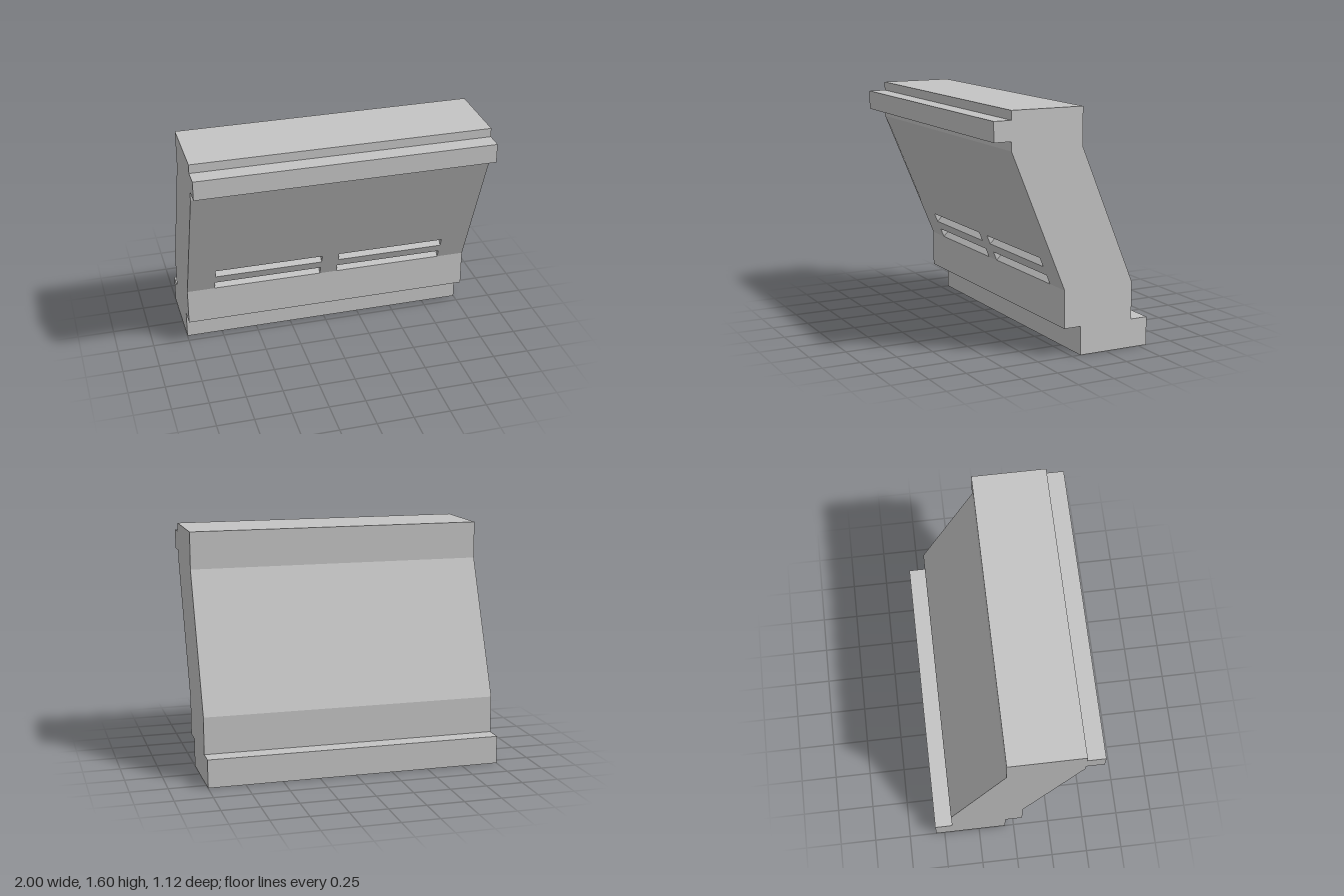
import * as THREE from 'three';

export function createModel() {
  const model = new THREE.Group();
  model.name = 'barrier';
  const grey = new THREE.MeshStandardMaterial({ color: 0xc4c4c4 });
  grey.name = 'plain grey';

  // z of the leaning front face at height y
  const frontZ = (y) => 0.06 + (0.38 * (y - 0.44)) / 0.91;

  // Wedge-shaped notches cut into the lower front face, as [z, y]
  const notch = (low) => [
    [frontZ(low), low], [frontZ(low) - 0.045, low + 0.046], [frontZ(low + 0.06), low + 0.06],
  ];
  const notches = [...notch(0.44), ...notch(0.56)];

  // Side outline, as [z, y], running up the front and down the back
  const outline = (cut) => [
    [-0.06, 0], [-0.06, 0.19], [0.06, 0.19],
    ...(cut ? notches : [[0.06, 0.44]]),
    [0.44, 1.35], [0.44, 1.41], [0.56, 1.41], [0.56, 1.54], [0.44, 1.54], [0.44, 1.6],
    [-0.06, 1.6], [-0.06, 1.35], [-0.44, 0.44], [-0.44, 0.19], [-0.56, 0.19], [-0.56, 0],
  ];

  // Extrude a slice of the body from x0 to x1
  function addSlice(name, x0, x1, cut) {
    const shape = new THREE.Shape(outline(cut).map(([z, y]) => new THREE.Vector2(-z, y)));
    const geometry = new THREE.ExtrudeGeometry(shape, { depth: x1 - x0, bevelEnabled: false });
    geometry.rotateY(Math.PI / 2);
    geometry.translate(x0, 0, 0);
    // Extrusion now runs along +x and the shape's -z axis points to the back
    const mesh = new THREE.Mesh(geometry, grey);
    mesh.name = name;
    model.add(mesh);
  }
  addSlice('rightEnd', -1, -0.81, false);
  addSlice('rightSlots', -0.81, -0.06, true);
  addSlice('middle', -0.06, 0.06, false);
  addSlice('leftSlots', 0.06, 0.81, true);
  addSlice('leftEnd', 0.81, 1, false);

  // Slightly raised panel with shallow sloping borders on the upper front face
  const outer = [[-1, 0.68, 0.16], [1, 0.68, 0.16], [1, 1.35, 0.44], [-1, 1.35, 0.44]];
  const inner = [[-0.93, 0.74, 0.203], [0.93, 0.74, 0.203], [0.93, 1.28, 0.428], [-0.93, 1.28, 0.428]];
  const index = [4, 5, 6, 4, 6, 7];
  for (let i = 0; i < 4; i++) {
    const j = (i + 1) % 4;
    index.push(i, j, 4 + j, i, 4 + j, 4 + i);
  }
  const panel = new THREE.BufferGeometry();
  panel.setAttribute('position', new THREE.Float32BufferAttribute([...outer, ...inner].flat(), 3));
  // The borders blend smoothly into the leaning face
  const lean = new THREE.Vector3(0, -0.38, 0.91).normalize().toArray();
  panel.setAttribute('normal', new THREE.Float32BufferAttribute(Array(8).fill(lean).flat(), 3));
  panel.setIndex(index);
  const panelMesh = new THREE.Mesh(panel, grey);
  panelMesh.name = 'raisedFrontPanel';
  model.add(panelMesh);

  return model;
}
